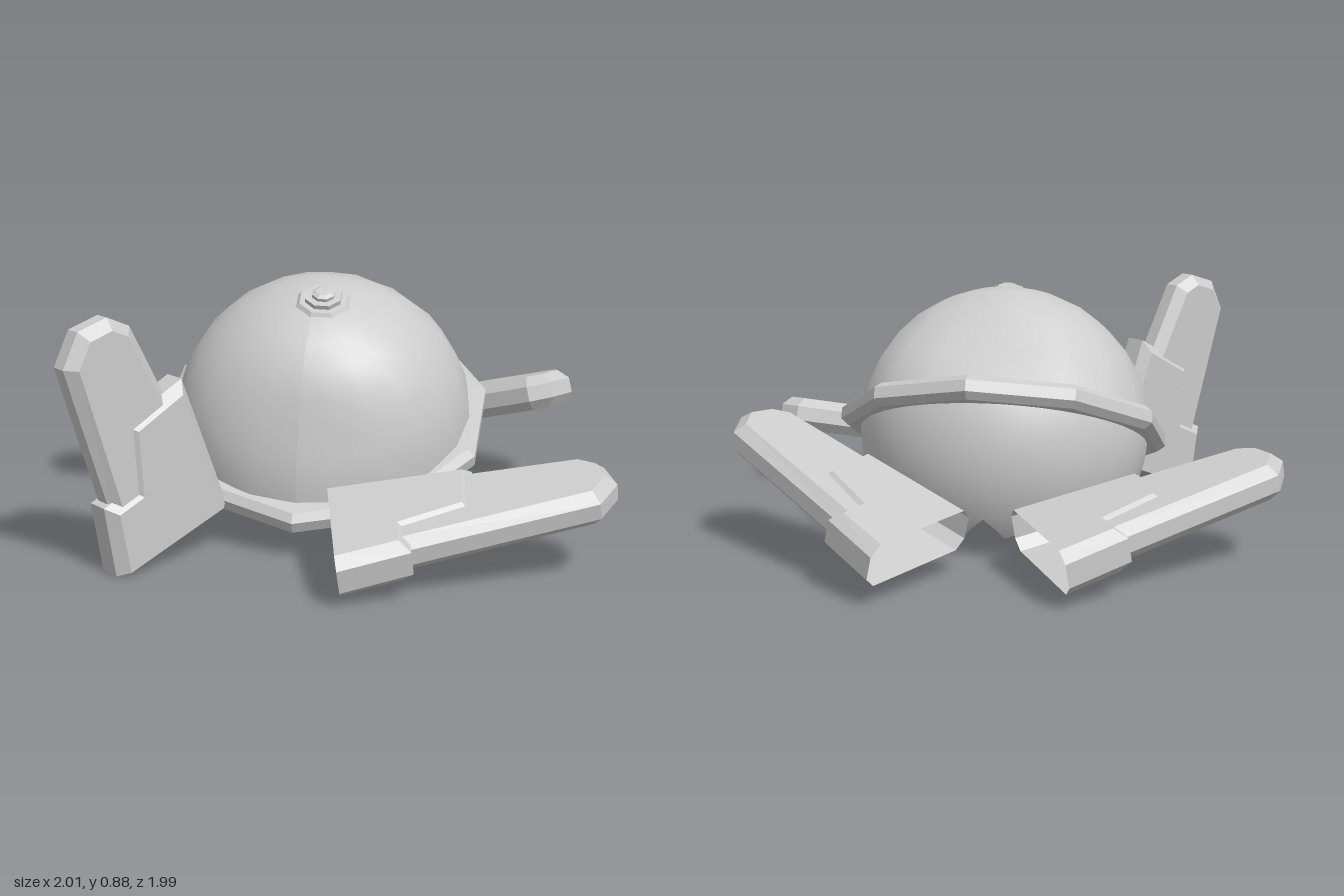
import * as THREE from 'three';

const TILT = 0.445, YAW = -0.08, R = 0.53, SIDES = 10;
const smooth = new THREE.MeshStandardMaterial({ color: 0xcccccc, side: THREE.DoubleSide });
const faceted = new THREE.MeshStandardMaterial({ color: 0xcccccc, flatShading: true, side: THREE.DoubleSide });

function add(parent, name, geometry, material) {
  const mesh = new THREE.Mesh(geometry, material);
  mesh.name = name;
  parent.add(mesh);
  return mesh;
}

// Upper half of the shell, ten-sided like the rim, dented on its back and lower front
function domeGeometry() {
  const g = new THREE.SphereGeometry(R, SIDES * 2, 8, 0, Math.PI * 2, 0, Math.PI / 2);
  g.rotateY(Math.PI / 2 + YAW);
  const p = g.attributes.position, v = new THREE.Vector3(), d = new THREE.Vector3();
  const dents = [
    { at: new THREE.Vector3(0, 0.22, -0.43).setLength(R), reach: 0.28, depth: 0.19 },
    { at: new THREE.Vector3(0.03, 0.25, 0.42).setLength(R), reach: 0.3, depth: 0.11 },
  ];
  for (let i = 0; i < p.count; i++) {
    v.fromBufferAttribute(p, i);
    let scale = 1 - 0.04 * v.y / R; // slightly flattened crown
    for (const { at, reach, depth } of dents) {
      d.subVectors(v, at);
      d.x *= 0.6; // dents are wider than tall
      scale -= depth * Math.max(0, 1 - d.length() / reach);
    }
    v.multiplyScalar(scale);
    p.setXYZ(i, v.x, v.y, v.z);
  }
  g.computeVertexNormals();
  return g;
}

// Lower half, broken off along a jagged, roughly level line
function brokenShellGeometry(centreY) {
  const jag = [0.1, 0.12, 0.07, 0.2, 0.12, 0.11, 0.14, 0.22, 0.06, 0.05, 0.12, 0.07,
    0.14, 0.06, 0.1, 0.05, 0.16, 0.08, 0.2, 0.11, 0.18, 0.08, 0.14, 0.08];
  const cols = jag.length * 2, rows = 8, radius = 0.52, pos = [], idx = [];
  for (let i = 0; i <= cols; i++) {
    const phi = (i / cols) * Math.PI * 2, j = Math.floor(i / 2);
    const a = jag[j % jag.length], b = jag[(j + 1) % jag.length];
    const y = i % 2 ? (a + b) / 2 : a;
    // Angle below the rim at which the sphere reaches height y
    const A = -Math.sin(TILT) * Math.cos(phi), B = Math.cos(TILT);
    const k = (y - centreY) / (radius * Math.hypot(A, B));
    const end = Math.max(0, Math.acos(Math.max(-1, Math.min(1, k))) - Math.atan2(B, A));
    for (let r = 0; r <= rows; r++) {
      const t = (end * r) / rows, c = radius * Math.cos(t);
      pos.push(c * Math.sin(phi), -radius * Math.sin(t), c * Math.cos(phi));
      if (i < cols && r < rows) {
        const q = i * (rows + 1) + r, n = q + rows + 1;
        idx.push(q, q + 1, n, n, q + 1, n + 1);
      }
    }
  }
  const g = new THREE.BufferGeometry();
  g.setAttribute('position', new THREE.Float32BufferAttribute(pos, 3));
  // On a sphere the normals are the directions of the points
  g.setAttribute('normal', new THREE.Float32BufferAttribute(pos.map((c) => c / radius), 3));
  g.setIndex(idx);
  return g;
}

function lathe(points, sides) {
  return new THREE.LatheGeometry(points.map(([x, y]) => new THREE.Vector2(x, y)), sides);
}

// Chamfered plate in the leg's plane, centred on its thickness
function plate(outline, thickness, chamfer) {
  const shape = new THREE.Shape(outline.map(([x, y]) => new THREE.Vector2(x, y)));
  const g = new THREE.ExtrudeGeometry(shape, {
    depth: thickness - 2 * chamfer, bevelThickness: chamfer,
    bevelSize: chamfer, bevelOffset: -chamfer, bevelSegments: 1,
  });
  return g.translate(0, 0, chamfer - thickness / 2);
}

// Hollow sleeve: a plate whose root end is cut flat and left open
function sleeveGeometry() {
  const src = plate(SLEEVE, 0.15, 0.035).attributes.position, pos = [];
  for (let i = 0; i < src.count; i += 3) {
    const tri = [i, i + 1, i + 2].map((j) =>
      [src.getX(j) < 0.047 ? 0 : src.getX(j), src.getY(j), src.getZ(j)]);
    if (tri.some(([x]) => x > 0)) pos.push(...tri.flat());
  }
  const g = new THREE.BufferGeometry();
  g.setAttribute('position', new THREE.Float32BufferAttribute(pos, 3));
  g.computeVertexNormals();
  return g;
}

const SLEEVE = [[0, 0], [0.48, -0.005], [0.45, 0.25], [0.24, 0.315], [0.235, 0.42], [0, 0.47]];
const ARM = [[0.18, 0.01], [0.835, 0.005], [0.905, 0.06], [0.925, 0.17], [0.85, 0.272], [0.18, 0.395]];

// A leg placed by its two root corners and a point along its straight edge.
// The arm may be swung in the sleeve or pushed into it.
function leg(name, root, rootFar, along, swing = 0, push = 0) {
  const p = new THREE.Vector3(...root);
  const u = new THREE.Vector3(...along).sub(p).normalize();
  const v = new THREE.Vector3(...rootFar).sub(p);
  v.addScaledVector(u, -v.dot(u)).normalize();
  const w = new THREE.Vector3().crossVectors(u, v);
  const group = new THREE.Group();
  group.name = name;
  add(group, 'sleeve', sleeveGeometry(), faceted);
  const arm = add(group, 'arm', plate(ARM, 0.125, 0.035), faceted);
  arm.position.x = -push;
  arm.rotation.z = swing;
  group.applyMatrix4(new THREE.Matrix4().makeBasis(u, v, w).setPosition(p));
  return group;
}

export function createModel() {
  const model = new THREE.Group();

  // Tilted body
  const body = new THREE.Group();
  body.name = 'body';
  body.position.set(-0.015, 0.358, 0.028);
  body.rotation.x = TILT;
  model.add(body);
  add(body, 'dome', domeGeometry(), smooth);
  add(body, 'brokenShell', brokenShellGeometry(body.position.y), smooth);

  const rim = add(body, 'rim', lathe([[0.51, -0.042], [0.565, -0.042], [0.592, -0.02],
    [0.592, 0.02], [0.565, 0.042], [0.51, 0.042], [0.51, -0.042]], SIDES), faceted);
  rim.rotation.y = YAW;

  // Stepped knob at the pole
  const knob = add(body, 'knob', lathe([[0.1, 0.46], [0.1, 0.495], [0.085, 0.512], [0.065, 0.512],
    [0.065, 0.527], [0.04, 0.527], [0.04, 0.538], [0.025, 0.545], [0, 0.545]], 8), faceted);
  knob.rotation.set(0.02, Math.PI / 8, -0.05);

  // Scattered legs
  model.add(
    leg('frontLeftLeg', [0.06, 0.19, 0.53], [0.14, 0.085, 0.97], [0.88, 0.3, 0.42]),
    leg('backLeftLeg', [0.015, 0.15, -0.585], [0.265, 0.13, -0.985], [0.73, 0.395, -0.195], -0.01),
    leg('backRightLeg', [-0.13, 0.14, -0.52], [-0.37, 0.11, -0.93], [-0.85, 0.3, -0.13]),
    leg('standingLeg', [-0.33, 0.16, 0.43], [-0.63, 0.01, 0.74], [-0.5, 0.79, 0.6], 0.11, 0.1),
  );
  return model;
}
